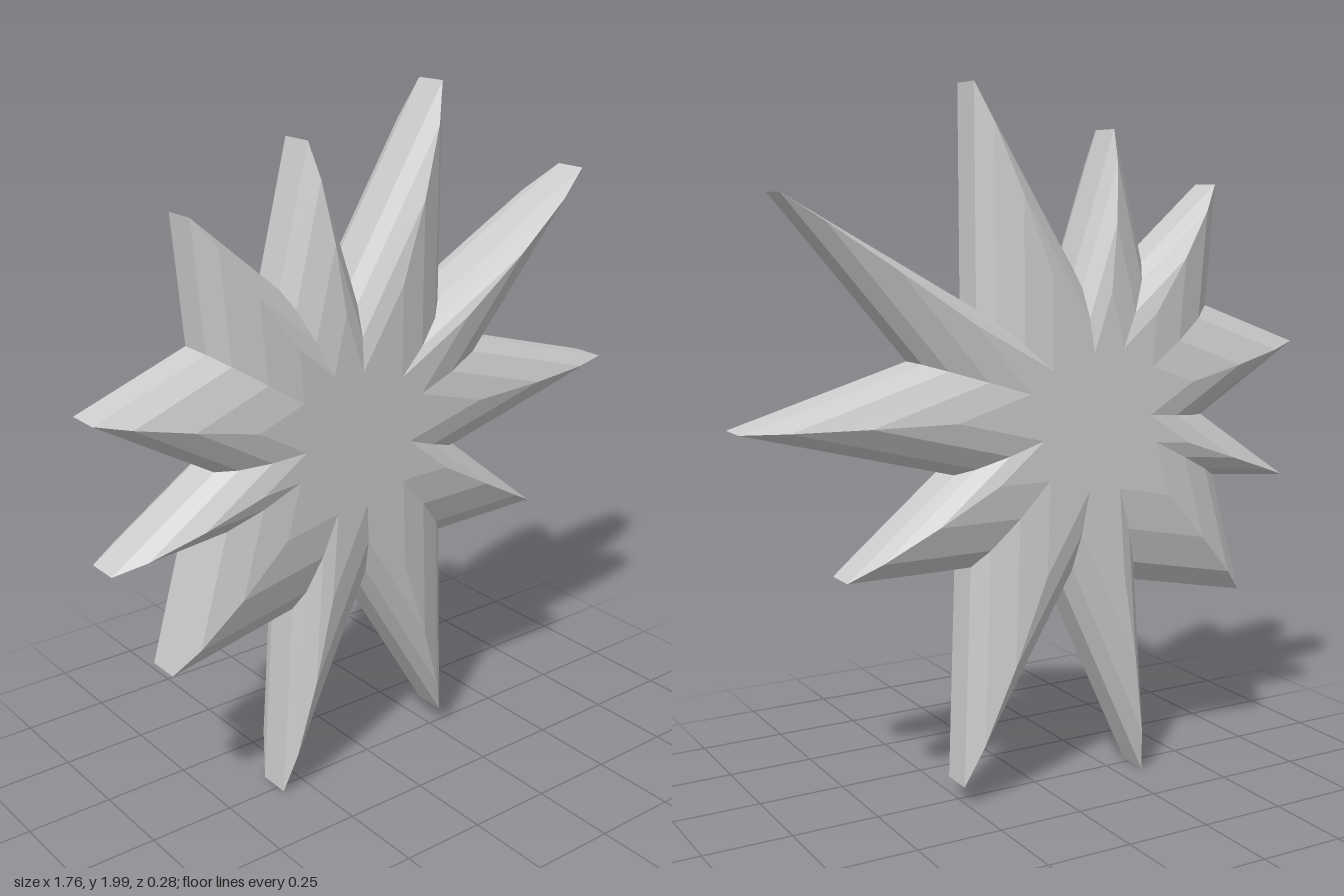
import * as THREE from 'three';

// Outline of the star, alternating tip and valley, clockwise from the top tip.
const OUTLINE = [
  [0.2, 2.0], [0.205, 1.4], [0.75, 1.71], [0.37, 1.26], [0.88, 1.11], [0.28, 0.955],
  [0.6, 0.695], [0.235, 0.695], [0.265, 0.07], [-0.06, 0.6], [-0.33, 0.01], [-0.295, 0.595],
  [-0.685, 0.515], [-0.585, 0.88], [-0.85, 0.855], [-0.54, 1.065], [-0.88, 1.265], [-0.555, 1.385],
  [-0.59, 1.735], [-0.33, 1.515], [-0.24, 1.885], [-0.105, 1.495],
];
const CENTRE = [-0.13, 1.105];

// Cross-sections from back to front: scale of the outline and depth.
const HALF = [[1, 0.048], [0.88, 0.087], [0.67, 0.118], [0.43, 0.132], [0, 0.132]];
const RINGS = [...HALF.map(([s, z]) => [s, -z]).reverse(), ...HALF];

const LEAN = 0.021; // slight forward lean of the whole star

function ringPoint([scale, z], i) {
  const [px, py] = OUTLINE[i % OUTLINE.length];
  const x = CENTRE[0] + (px - CENTRE[0]) * scale;
  const y = CENTRE[1] + (py - CENTRE[1]) * scale;
  return [x, y, z + LEAN * (y - 1)];
}

function starGeometry() {
  const positions = [];
  for (let r = 0; r < RINGS.length - 1; r++) {
    const back = RINGS[r], front = RINGS[r + 1];
    for (let i = 0; i < OUTLINE.length; i++) {
      const a = ringPoint(back, i), b = ringPoint(back, i + 1);
      const c = ringPoint(front, i + 1), d = ringPoint(front, i);
      // The end rings shrink to a point and close the flat faces.
      if (front[0] > 0) positions.push(...a, ...d, ...c);
      else positions.push(...a, ...d, ...b);
      if (back[0] > 0 && front[0] > 0) positions.push(...a, ...c, ...b);
    }
  }
  const geometry = new THREE.BufferGeometry();
  geometry.setAttribute('position', new THREE.Float32BufferAttribute(positions, 3));
  geometry.computeVertexNormals();
  return geometry;
}

export function createModel() {
  const group = new THREE.Group();
  group.name = 'spikyStar';
  const material = new THREE.MeshStandardMaterial({ color: 0xcccccc, flatShading: true });
  const star = new THREE.Mesh(starGeometry(), material);
  star.name = 'starBody';
  group.add(star);
  return group;
}
